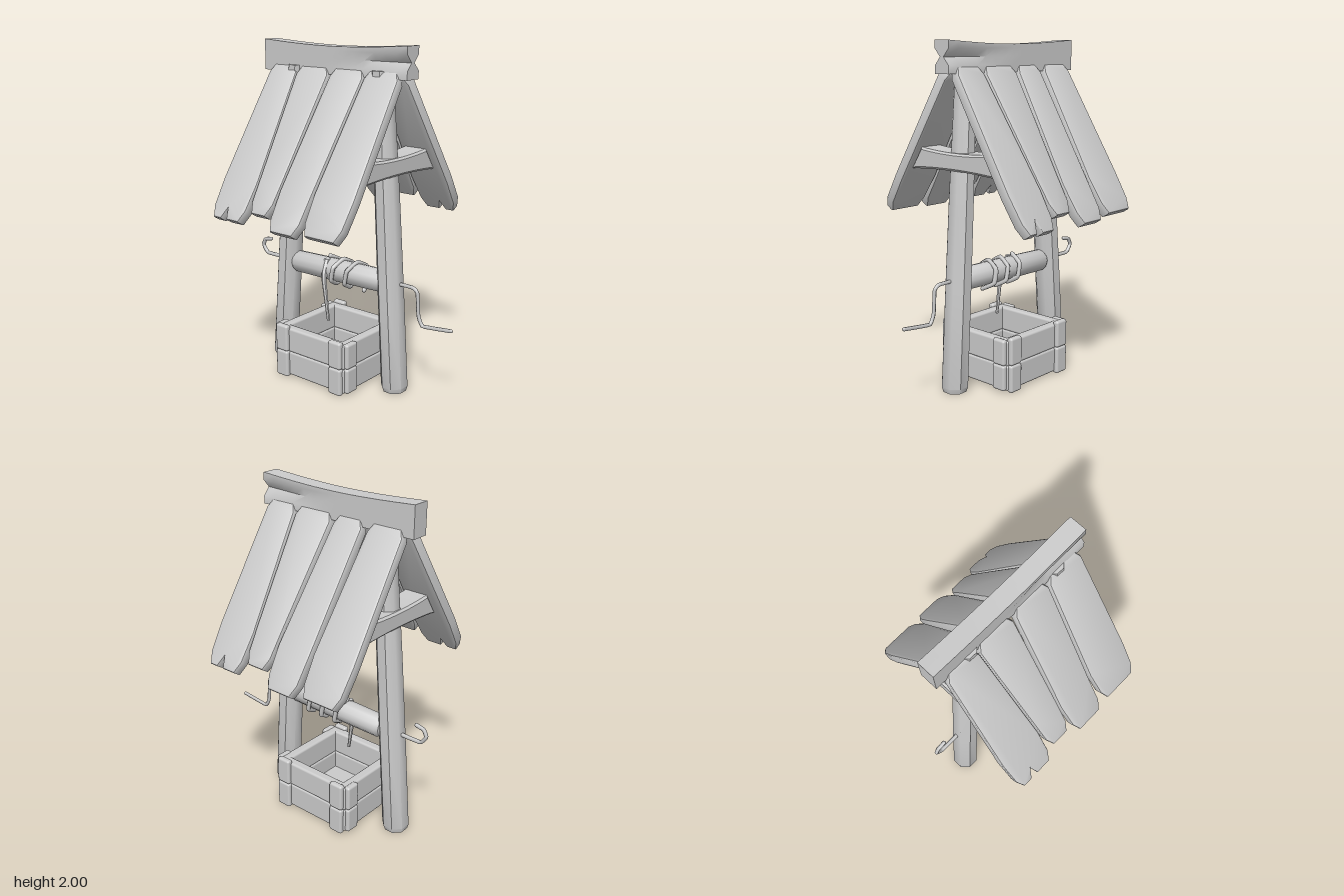
import * as THREE from 'three';
import { toCreasedNormals } from 'three/addons/utils/BufferGeometryUtils.js';
import { RoundedBoxGeometry } from 'three/addons/geometries/RoundedBoxGeometry.js';

const material = new THREE.MeshStandardMaterial({ color: 0xcccccc, side: THREE.DoubleSide });

function add(parent, name, geometry, x = 0, y = 0, z = 0) {
  const mesh = new THREE.Mesh(geometry, material);
  mesh.name = name;
  mesh.position.set(x, y, z);
  parent.add(mesh);
  return mesh;
}

// Move every vertex by a rule
function bend(geometry, rule) {
  const p = geometry.attributes.position;
  const v = new THREE.Vector3();
  for (let i = 0; i < p.count; i++) {
    rule(v.fromBufferAttribute(p, i));
    p.setXYZ(i, v.x, v.y, v.z);
  }
  return toCreasedNormals(geometry, 0.8);
}

// Tube with straight runs between the points, and closed ends
function rod(parent, name, points, radius, sides = 6) {
  const v = points.map(p => new THREE.Vector3(...p));
  const curve = new THREE.CatmullRomCurve3(v, false, 'catmullrom', 0.15);
  add(parent, name, new THREE.TubeGeometry(curve, v.length * 6, radius, sides));
  for (const end of [v[0], v[v.length - 1]]) {
    add(parent, name + 'End', new THREE.SphereGeometry(radius, sides, 4), end.x, end.y, end.z);
  }
}

// Roof board: narrow top, wide lower part, clipped corners, optional split at the end
function boardGeometry([t0, t1, b0, b1, zEnd, split]) {
  const L = (zEnd - 0.045) / 0.531;
  const pts = [[t0 + 0.025, 0], [t0, -0.05], [b0, -0.76 * L], [b0 + 0.008, -L + 0.07], [b0 + 0.035, -L]];
  if (split !== undefined) pts.push([split - 0.025, -L], [split, -L + 0.07], [split + 0.02, -L]);
  pts.push([b1 - 0.035, -L], [b1 - 0.008, -L + 0.07], [b1, -0.76 * L], [t1, -0.05], [t1 - 0.025, 0]);
  const shape = new THREE.Shape(pts.map(p => new THREE.Vector2(...p)));
  const g = new THREE.ExtrudeGeometry(shape, {
    depth: 0.04, bevelThickness: 0.012, bevelSize: 0.012, bevelOffset: -0.012, bevelSegments: 2,
  });
  return toCreasedNormals(g.translate(0, 0, -0.052), 0.7);
}

export function createModel() {
  const model = new THREE.Group();
  model.name = 'well';

  // Leaning posts with a cross brace under the roof
  const braceShape = new THREE.Shape();
  braceShape.moveTo(-0.35, 1.27);
  braceShape.quadraticCurveTo(0, 1.3, 0.35, 1.27);
  braceShape.lineTo(0.27, 1.4);
  braceShape.quadraticCurveTo(0, 1.37, -0.27, 1.4);
  for (const [name, x0, x1] of [['right', -0.535, -0.385], ['left', 0.345, 0.235]]) {
    const profile = [[0, 0], [0.07, 0], [0.08, 0.03], [0.078, 0.6], [0.074, 1.1], [0.062, 1.86], [0, 1.86]];
    const post = new THREE.LatheGeometry(profile.map(p => new THREE.Vector2(...p)), 8, Math.PI / 8);
    add(model, name + 'Post', bend(post, v => {
      v.z = v.z * 1.04 + 0.012;
      v.x += x0 + (x1 - x0) * v.y / 1.86;
    }));
    const brace = new THREE.ExtrudeGeometry(braceShape, {
      depth: 0.14, bevelThickness: 0.012, bevelSize: 0.012, bevelOffset: -0.012, bevelSegments: 1,
    });
    brace.translate(0, 0, -0.07).rotateY(-Math.PI / 2);
    add(model, name + 'Brace', toCreasedNormals(brace, 0.6), x0 + (x1 - x0) * 0.72);
  }

  // Ridge beam: sagging top, with a crack running in from one end
  const ridge = new THREE.BoxGeometry(1.05, 0.18, 0.105, 14, 4, 2);
  add(model, 'ridgeBeam', bend(ridge, v => {
    const sag = 0.022 * Math.cos(v.x / 0.525 * Math.PI / 2);
    if (Math.abs(v.y) < 0.01 && v.x > 0) v.z *= 1 - 0.75 * v.x / 0.525;
    if (v.y > 0.08) v.y -= sag;
  }), -0.095, 1.91, 0);

  // Roof boards, each: top edges, lower edges, reach in z, split position
  const front = [
    [-0.56, -0.35, -0.585, -0.315, 0.57, -0.465],
    [-0.345, -0.11, -0.31, -0.135, 0.535],
    [-0.09, 0.145, -0.13, 0.1, 0.575],
    [0.155, 0.385, 0.115, 0.39, 0.565],
  ];
  const back = [
    [-0.565, -0.34, -0.565, -0.295, 0.565],
    [-0.3, -0.11, -0.275, -0.05, 0.578],
    [-0.085, 0.165, -0.04, 0.14, 0.535],
    [0.18, 0.385, 0.145, 0.405, 0.575, 0.29],
  ].map(([a, b, c, d, z, s]) => [-b, -a, -d, -c, z, s === undefined ? s : -s]);
  [front, back].forEach((boards, i) => {
    const slope = new THREE.Group();
    slope.name = i ? 'backRoof' : 'frontRoof';
    slope.rotation.y = i * Math.PI;
    for (const b of boards) {
      add(slope, 'roofBoard', boardGeometry(b), 0, 1.86, 0.053).rotation.x = -0.56;
    }
    model.add(slope);
  });

  // Roller with rounded ends
  const rollerProfile = [[0, -0.345], [0.055, -0.345], [0.067, -0.325], [0.07, 0],
    [0.068, 0.32], [0.055, 0.345], [0, 0.345]].map(p => new THREE.Vector2(...p));
  const roller = add(model, 'roller', toCreasedNormals(new THREE.LatheGeometry(rollerProfile, 12), 0.9), -0.077, 0.648, 0.01);
  roller.rotation.z = -Math.PI / 2 + 0.02;

  // Crank and hook
  rod(model, 'crank', [[0.26, 0.66, 0.01], [0.46, 0.66, 0.01], [0.495, 0.635, 0.01], [0.505, 0.5, 0.01],
    [0.535, 0.445, 0.01], [0.725, 0.465, 0.01]], 0.011);
  rod(model, 'hook', [[-0.44, 0.642, 0.01], [-0.68, 0.642, 0.01], [-0.72, 0.69, 0.01],
    [-0.7, 0.73, 0.01], [-0.65, 0.74, 0.01]], 0.012);

  // Rope wound round the roller, with a tapering loose end
  const coil = [];
  for (let i = 0; i <= 15; i++) {
    const a = i / 6 * Math.PI * 2;
    coil.push([-0.15 + 0.26 * i / 15, 0.645 + 0.082 * Math.cos(a), 0.01 - 0.088 * Math.sin(a)]);
  }
  rod(model, 'ropeCoil', coil, 0.014);
  const looseEnd = new THREE.CylinderGeometry(0.018, 0.009, 0.37, 6, 6);
  add(model, 'looseRope', bend(looseEnd, v => {
    v.x += -0.125 - v.y * 0.13;
    v.z += 0.09 - 0.05 * Math.max(0, v.y - 0.1) / 0.085;
  }), 0, 0.53, 0);

  // Square curb: two courses of boards per wall, with a stacked block near each corner
  const curb = new THREE.Group();
  curb.name = 'curb';
  curb.position.set(-0.088, 0, 0.015);
  model.add(curb);
  for (let side = 0; side < 4; side++) {
    const wall = new THREE.Group();
    wall.name = 'curbWall';
    wall.rotation.y = side * Math.PI / 2;
    const low = side % 2 ? 0.012 : 0;
    for (let row = 0; row < 2; row++) {
      add(wall, 'curbBoard', new RoundedBoxGeometry(0.526, 0.152, 0.06, 2, 0.014), 0, 0.086 + row * 0.15, 0.234);
      for (const s of [-1, 1]) {
        const h = 0.165 - low;
        add(wall, 'cornerBlock', new RoundedBoxGeometry(0.092, h, 0.04, 2, 0.014),
          s * 0.208, low + h * (row + 0.5), 0.267);
      }
    }
    curb.add(wall);
  }
  add(curb, 'curbFloor', new THREE.BoxGeometry(0.44, 0.02, 0.44), 0, 0.04, 0);

  return model;
}
